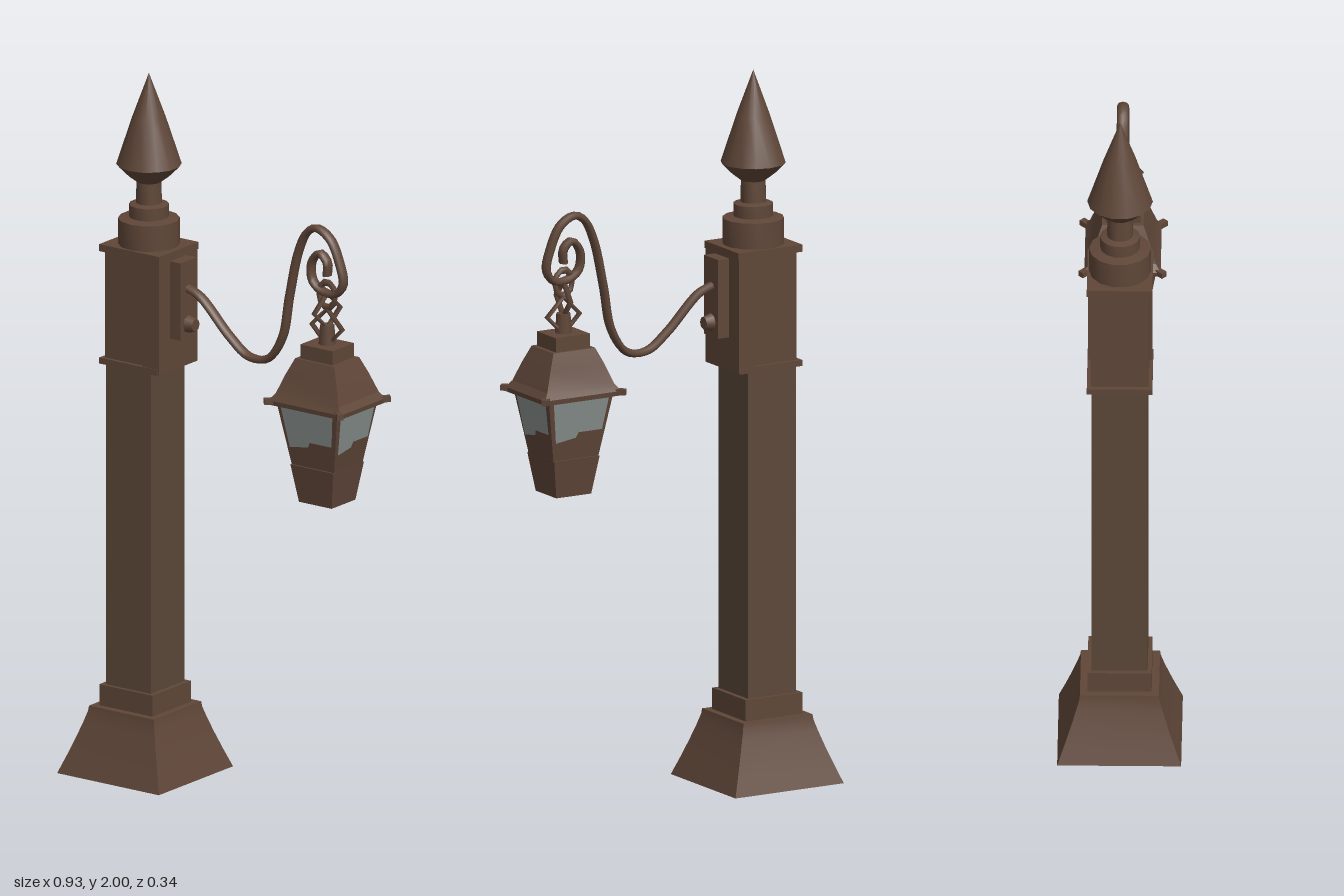
import * as THREE from 'three';
import { toCreasedNormals } from 'three/addons/utils/BufferGeometryUtils.js';

export function createModel() {
  const model = new THREE.Group();
  model.name = 'streetLamp';

  const material = (name, color) => {
    const m = new THREE.MeshStandardMaterial({ color });
    m.name = name;
    return m;
  };
  const iron = material('brown iron', 0x5f4638);
  const postIron = material('post brown', 0x5b4738);
  const glass = material('grey glass', 0x88908c);

  const add = (parent, name, geometry, mat, x = 0, y = 0, z = 0) => {
    const mesh = new THREE.Mesh(geometry, mat);
    mesh.name = name;
    mesh.position.set(x, y, z);
    parent.add(mesh);
    return mesh;
  };

  // box given by its limits, symmetric in z
  const slab = (parent, name, x0, x1, y0, y1, halfZ, mat = iron) =>
    add(parent, name, new THREE.BoxGeometry(x1 - x0, y1 - y0, halfZ * 2), mat, (x0 + x1) / 2, (y0 + y1) / 2);

  // four-sided solid from [half width, height] pairs, bottom to top
  const square = (profile, depth = 1) => {
    const pts = profile.map(([h, y]) => new THREE.Vector2(h * Math.SQRT2, y));
    pts.unshift(new THREE.Vector2(0, profile[0][1]));
    pts.push(new THREE.Vector2(0, profile[profile.length - 1][1]));
    const g = new THREE.LatheGeometry(pts, 4, Math.PI / 4);
    g.scale(1, 1, depth);
    return toCreasedNormals(g, 0.3);
  };

  // --- post ---
  const post = new THREE.Group();
  post.name = 'post';
  model.add(post);
  const px = -0.29;
  add(post, 'flaredBase', square([[0.174, 0], [0.155, 0.05], [0.137, 0.1], [0.122, 0.145], [0.113, 0.175], [0.111, 0.19]], 0.977), iron, px);
  slab(post, 'baseCollar', px - 0.091, px + 0.091, 0.19, 0.25, 0.088);
  slab(post, 'shaft', px - 0.077, px + 0.077, 0.25, 1.18, 0.077, postIron);

  // --- head block with trim and mounting plate ---
  const head = new THREE.Group();
  head.name = 'headBlock';
  model.add(head);
  slab(head, 'blockCore', -0.367, -0.2, 1.18, 1.505, 0.08);
  slab(head, 'blockSleeve', -0.233, -0.177, 1.172, 1.505, 0.088);
  slab(head, 'bottomTrim', -0.38, -0.18, 1.17, 1.187, 0.09);
  slab(head, 'topTrim', -0.38, -0.175, 1.492, 1.512, 0.09);
  slab(head, 'mountingPlate', -0.18, -0.141, 1.265, 1.487, 0.037);
  const knob = new THREE.CylinderGeometry(0.018, 0.026, 0.026, 8);
  knob.rotateZ(-Math.PI / 2);
  add(head, 'plateKnob', knob, iron, -0.13, 1.305, 0);

  // --- finial ---
  const finialProfile = [[0, 1.505], [0.085, 1.505], [0.085, 1.585], [0.055, 1.59], [0.055, 1.625],
    [0.036, 1.63], [0.034, 1.69], [0.06, 1.71], [0.09, 1.74], [0.046, 1.875], [0, 2]];
  const finial = new THREE.LatheGeometry(finialProfile.map(([r, y]) => new THREE.Vector2(r, y)), 14);
  add(model, 'finial', toCreasedNormals(finial, 0.6), iron, -0.277);

  // --- curled arm ---
  const armPath = [[-0.15, 1.41], [-0.1, 1.39], [0, 1.295], [0.065, 1.25], [0.13, 1.255], [0.18, 1.325],
    [0.205, 1.45], [0.235, 1.58], [0.265, 1.642], [0.297, 1.66], [0.343, 1.637], [0.375, 1.575], [0.388, 1.515],
    [0.365, 1.483], [0.32, 1.482], [0.284, 1.508], [0.281, 1.56], [0.308, 1.59], [0.334, 1.567], [0.333, 1.53]];
  const curve = new THREE.CatmullRomCurve3(armPath.map(([x, y]) => new THREE.Vector3(x, y, 0)), false, 'centripetal');
  const armGeometry = new THREE.TubeGeometry(curve, 90, 0.011, 8);
  armGeometry.scale(1, 1, 1.5);
  add(model, 'curledArm', armGeometry, iron);

  // --- lantern ---
  const lantern = new THREE.Group();
  lantern.name = 'lantern';
  lantern.position.x = 0.333;
  model.add(lantern);

  // chain of interlocked links
  const link = (name, y, radius, sides) => add(lantern, name, new THREE.TorusGeometry(radius, 0.008, 6, sides), iron, 0, y, 0);
  link('lowerLink', 1.383, 0.052, 4);
  link('middleLink', 1.43, 0.05, 4).rotation.y = Math.PI / 2 - 0.15;
  link('upperLink', 1.475, 0.028, 10).scale.y = 1.3;

  // cap and roof
  add(lantern, 'roofNeck', new THREE.CylinderGeometry(0.02, 0.024, 0.06, 8), iron, 0, 1.36, 0);
  add(lantern, 'roofCap', square([[0.055, 1.28], [0.055, 1.335]], 0.9), iron);
  add(lantern, 'roof', square([[0.121, 1.163], [0.123, 1.176], [0.108, 1.195], [0.087, 1.25], [0.067, 1.295]], 0.85), iron);

  // horns at the roof corners
  for (const sx of [-1, 1]) for (const sz of [-1, 1]) {
    const horn = add(lantern, 'roofHorn', new THREE.BoxGeometry(0.05, 0.016, 0.018), iron, sx * 0.113, 1.174, sz * 0.097);
    horn.rotation.y = -Math.atan2(sz, sx);
  }

  // tapered body and foot
  const bottom = 0.99, top = 1.168;
  const halfX = (y) => 0.072 + (0.031 * (y - bottom)) / (top - bottom);
  const halfZ = (y) => 0.066 + (0.024 * (y - bottom)) / (top - bottom);
  const depth = 0.9;
  add(lantern, 'lanternBody', square([[0.072, bottom], [0.103, top]], depth), iron);
  add(lantern, 'lanternFoot', square([[0.056, 0.885], [0.073, 0.993]], 0.97), iron);

  // panes with uneven lower edge, one on each side of the body
  const pane = [[-1, 1.16], [-1, 1.045], [-0.1, 1.055], [0, 1.07], [1, 1.07], [1, 1.16]];
  for (let side = 0; side < 4; side++) {
    const along = side % 2 ? halfZ : halfX;
    const out = side % 2 ? halfX : (y) => halfX(y) * depth;
    const points = pane.map(([u, y]) => [u * 0.87 * along(y), y, out(y) + 0.003]);
    const positions = [];
    for (let i = 1; i < points.length - 1; i++) positions.push(...points[0], ...points[i], ...points[i + 1]);
    const g = new THREE.BufferGeometry();
    g.setAttribute('position', new THREE.Float32BufferAttribute(positions, 3));
    g.computeVertexNormals();
    g.rotateY((side * Math.PI) / 2);
    add(lantern, 'windowPane', g, glass);
  }

  return model;
}
